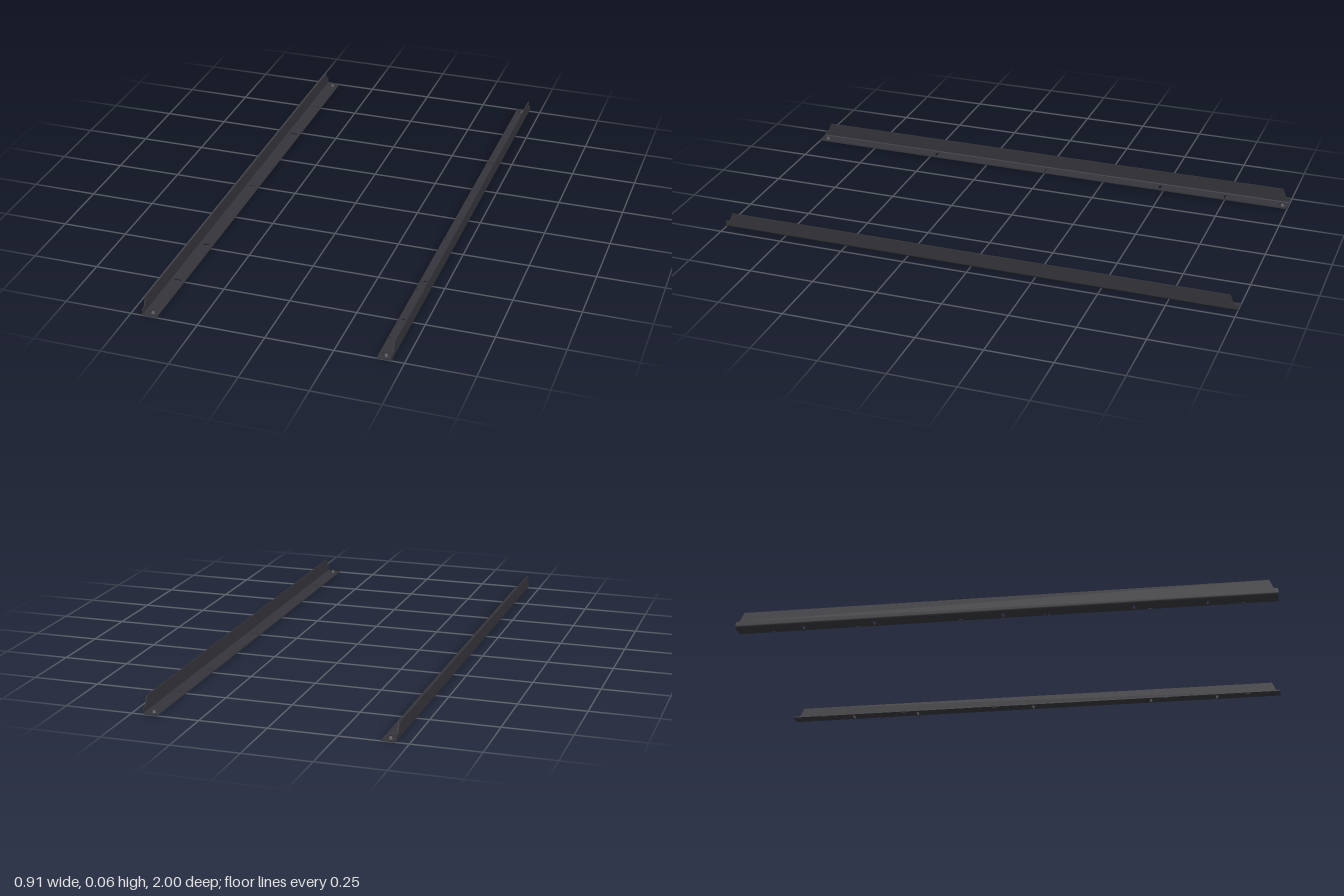
import * as THREE from 'three';

const INNER = 0.402, OUTER = 0.457, HEIGHT = 0.06;
const THICK = 0.004, BEND = 0.009, HALF = 1;

const material = new THREE.MeshStandardMaterial({ color: 0x35343a });

function part(name, geometry) {
  const mesh = new THREE.Mesh(geometry, material);
  mesh.name = name;
  return mesh;
}

// Rounded slot outline centred on (x, z)
function slot(x, z, w, l) {
  const r = Math.min(w, l) / 2, a = w / 2 - r, b = l / 2 - r;
  const path = new THREE.Path();
  path.absarc(x + a, z + b, r, 0, Math.PI / 2);
  path.absarc(x - a, z + b, r, Math.PI / 2, Math.PI);
  path.absarc(x - a, z - b, r, Math.PI, Math.PI * 1.5);
  path.absarc(x + a, z - b, r, Math.PI * 1.5, Math.PI * 2);
  path.closePath();
  return path;
}

function polygon(points) {
  return new THREE.Shape(points.map(([x, y]) => new THREE.Vector2(x, y)));
}

function createRail(name) {
  const rail = new THREE.Group();
  rail.name = name;

  // Flat flange with cross slots and thin slits near the inner edge
  const flange = polygon([[INNER, -HALF], [OUTER - BEND, -HALF], [OUTER - BEND, HALF], [INNER, HALF]]);
  for (const z of [-0.747, -0.48, 0, 0.48, 0.747]) flange.holes.push(slot(0.429, z, 0.03, 0.01));
  for (const z of [-0.87, -0.54, -0.16, 0.16, 0.54, 0.87]) flange.holes.push(slot(0.409, z, 0.003, 0.02));
  const flangeGeometry = new THREE.ExtrudeGeometry(flange, { depth: THICK, bevelEnabled: false, curveSegments: 6 });
  flangeGeometry.rotateX(Math.PI / 2).translate(0, THICK, 0);
  rail.add(part('flange', flangeGeometry));

  // Upright wall with cut-down ends
  const wall = polygon([
    [-HALF, BEND], [HALF, BEND], [HALF, 0.025], [0.985, 0.025],
    [0.97, HEIGHT], [-0.97, HEIGHT], [-0.985, 0.025], [-HALF, 0.025],
  ]);
  const wallGeometry = new THREE.ExtrudeGeometry(wall, { depth: THICK, bevelEnabled: false });
  wallGeometry.rotateY(-Math.PI / 2).translate(OUTER, 0, 0);
  rail.add(part('wall', wallGeometry));

  // Rounded bend joining flange and wall
  const bend = new THREE.Shape();
  bend.absarc(OUTER - BEND, BEND, BEND, -Math.PI / 2, 0, false);
  bend.absarc(OUTER - BEND, BEND, BEND - THICK, 0, -Math.PI / 2, true);
  bend.closePath();
  const bendGeometry = new THREE.ExtrudeGeometry(bend, { depth: 2 * HALF, bevelEnabled: false, curveSegments: 6 });
  bendGeometry.translate(0, 0, -HALF);
  rail.add(part('bend', bendGeometry));

  // Tapered locating studs with a recessed centre at both ends
  const profile = [[0.0135, THICK], [0.007, 0.0135], [0.0045, 0.0135], [0.0045, 0.005], [0, 0.005]]
    .map(([r, y]) => new THREE.Vector2(r, y));
  for (const side of [-1, 1]) {
    const studGeometry = new THREE.LatheGeometry(profile, 20).toNonIndexed();
    studGeometry.computeVertexNormals();
    const stud = part('endStud', studGeometry);
    stud.position.set(0.427, 0, side * 0.975);
    rail.add(stud);
  }
  return rail;
}

export function createModel() {
  material.side = THREE.DoubleSide;
  const model = new THREE.Group();
  model.name = 'mountingRails';
  const left = createRail('leftRail');
  const right = createRail('rightRail');
  right.rotation.y = Math.PI;
  model.add(left, right);
  return model;
}
